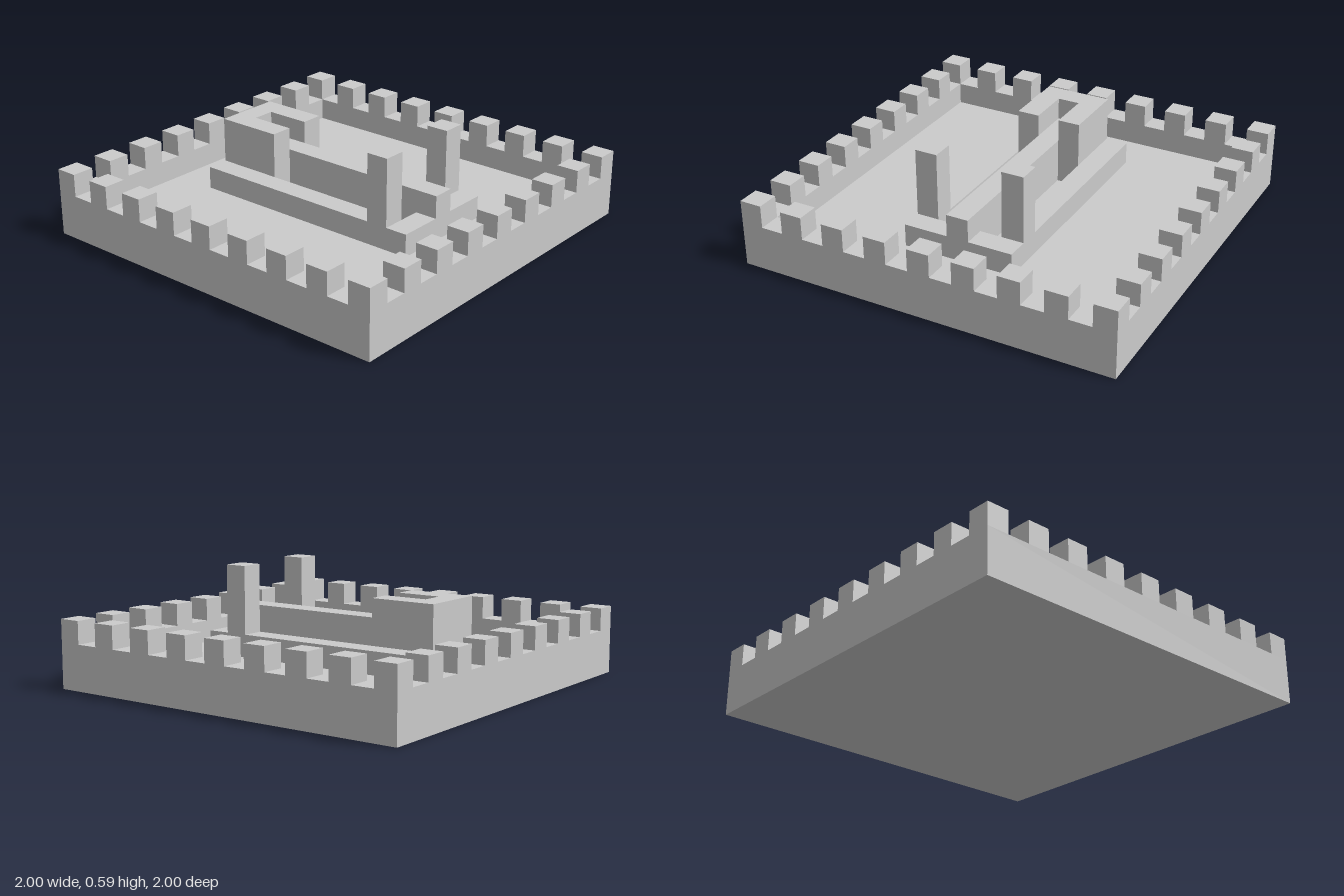
import * as THREE from 'three';

const U = 2 / 17; // one grid cell; all sizes below are in cells

const material = new THREE.MeshStandardMaterial({ color: 0xcccccc, flatShading: true });

// Corners of a rectangle in plan, given as x and z ranges (shape y is -z)
const rect = (x0, x1, z0, z1) => [[x0, z0], [x0, z1], [x1, z1], [x1, z0]];
const points = (corners) => corners.map(([x, z]) => new THREE.Vector2(x * U, -z * U));

// Upright prism from a plan outline with optional holes
function prism(parent, name, outline, y0, y1, holes = []) {
  const shape = new THREE.Shape(points(outline));
  holes.forEach((hole) => shape.holes.push(new THREE.Path(points(hole))));
  const geometry = new THREE.ExtrudeGeometry(shape, { depth: (y1 - y0) * U, bevelEnabled: false });
  geometry.rotateX(-Math.PI / 2);
  geometry.translate(0, y0 * U, 0);
  const mesh = new THREE.Mesh(geometry, material);
  mesh.name = name;
  parent.add(mesh);
}

export function createModel() {
  const model = new THREE.Group();
  model.name = 'courtyard';

  // Floor and surrounding wall
  prism(model, 'floor', rect(-7.5, 7.5, -7.5, 7.5), 0, 1);
  prism(model, 'wall', rect(-8.5, 8.5, -8.5, 8.5), 0, 2, [rect(-7.5, 7.5, -7.5, 7.5)]);

  // Battlements on every second cell of the wall
  const battlements = new THREE.Group();
  battlements.name = 'battlements';
  model.add(battlements);
  for (let x = -8; x <= 8; x += 2) {
    for (let z = -8; z <= 8; z += 2) {
      if (Math.abs(x) === 8 || Math.abs(z) === 8) {
        prism(battlements, 'merlon', rect(x - 0.5, x + 0.5, z - 0.5, z + 0.5), 2, 3);
      }
    }
  }

  // Low plinth with a channel on each side of its middle
  prism(model, 'plinth', rect(-2.5, 2.5, -5.5, 5.5), 1, 2,
    [rect(-1.5, -0.5, -2.5, 4.5), rect(0.5, 1.5, -2.5, 4.5)]);

  // Middle rail, running into the U-shaped block at the back
  prism(model, 'rail', rect(-0.5, 0.5, -4.5, 5.5), 2, 3);
  prism(model, 'backBlock', [
    [-1.5, -5.5], [-1.5, -2.5], [-0.5, -2.5], [-0.5, -4.5],
    [0.5, -4.5], [0.5, -2.5], [1.5, -2.5], [1.5, -5.5],
  ], 2, 4);

  // Pair of posts near the front
  for (const [name, x] of [['leftPost', 2], ['rightPost', -2]]) {
    prism(model, name, rect(x - 0.5, x + 0.5, 3.5, 4.5), 2, 5);
  }

  return model;
}
